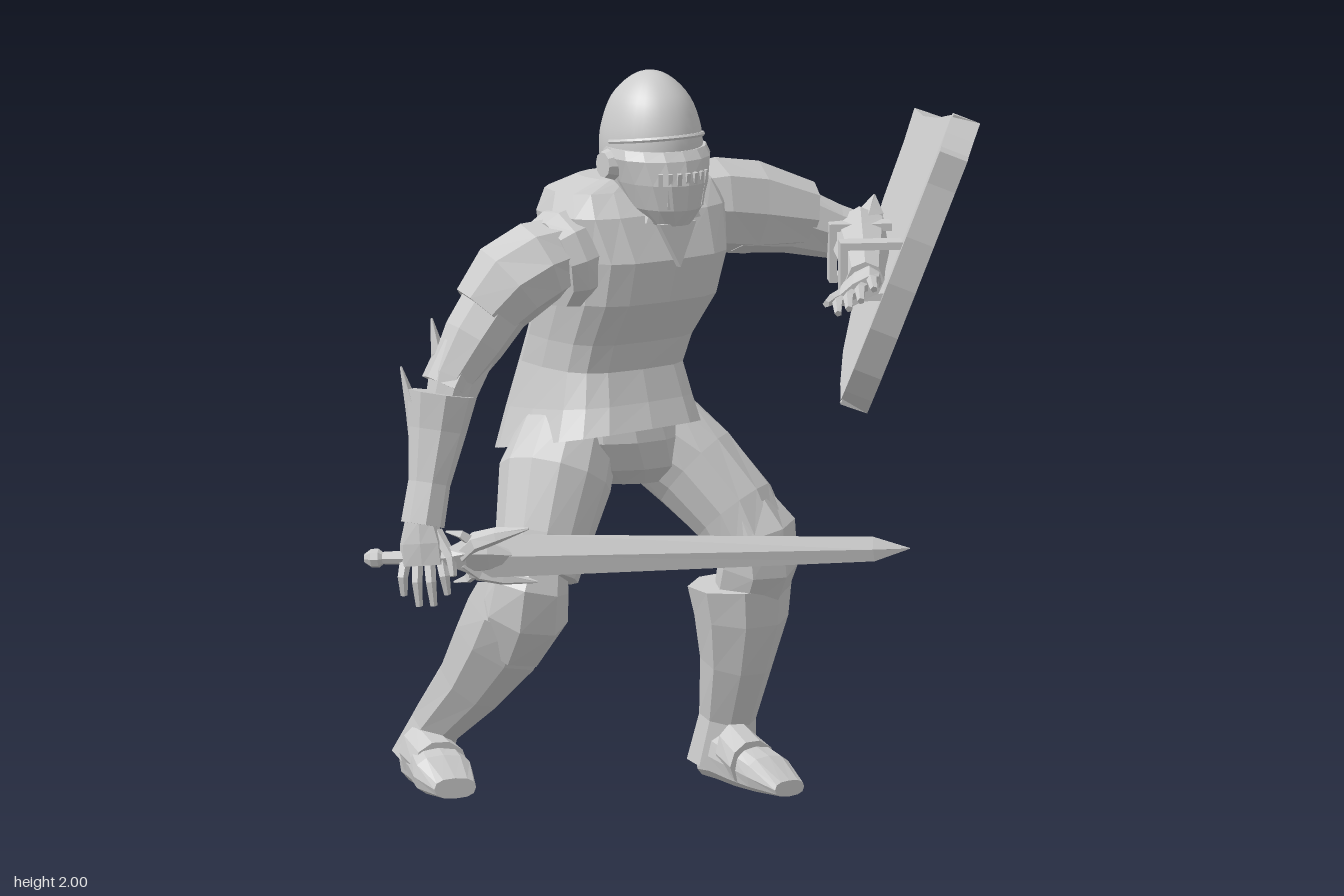
import * as THREE from 'three';

const V = (x, y, z) => new THREE.Vector3(x, y, z);
const flat = new THREE.MeshStandardMaterial({ color: 0xcccccc, flatShading: true, side: THREE.DoubleSide });
const smooth = new THREE.MeshStandardMaterial({ color: 0xcccccc, side: THREE.DoubleSide });

function add(parent, name, geometry, material = flat) {
  const mesh = new THREE.Mesh(geometry, material);
  mesh.name = name;
  parent.add(mesh);
  return mesh;
}

// Capped loft through rings [x, y, z, ra, rb]; ra runs along ref, rb across it.
function loft(parent, name, rings, { n = 8, e = 1, ref = V(1, 0, 0), axis = null } = {}) {
  const pos = [], idx = [], c = rings.map(r => V(r[0], r[1], r[2]));
  const pow = v => Math.sign(v) * Math.abs(v) ** e;
  rings.forEach((r, i) => {
    const t = axis ? axis.clone() : c[Math.min(i + 1, c.length - 1)].clone().sub(c[Math.max(i - 1, 0)]);
    t.normalize();
    const a = ref.clone().addScaledVector(t, -ref.dot(t)).normalize();
    const b = t.clone().cross(a);
    for (let j = 0; j < n; j++) {
      const q = j / n * Math.PI * 2;
      const p = c[i].clone().addScaledVector(a, r[3] * pow(Math.cos(q))).addScaledVector(b, (r[4] ?? r[3]) * pow(Math.sin(q)));
      pos.push(p.x, p.y, p.z);
    }
  });
  const last = rings.length - 1, base = last * n, cap = rings.length * n;
  pos.push(...c[0].toArray(), ...c[last].toArray());
  for (let j = 0; j < n; j++) {
    const k = (j + 1) % n;
    for (let i = 0; i < last; i++) {
      const o = i * n, u = o + n;
      idx.push(o + j, o + k, u + k, o + j, u + k, u + j);
    }
    idx.push(cap, k, j, cap + 1, base + j, base + k);
  }
  let g = new THREE.BufferGeometry();
  g.setAttribute('position', new THREE.Float32BufferAttribute(pos, 3));
  g.setIndex(idx);
  g = g.toNonIndexed();
  g.computeVertexNormals();
  return add(parent, name, g);
}

function group(parent, name) {
  const g = new THREE.Group();
  g.name = name;
  parent.add(g);
  return g;
}

function box(parent, name, size, at) {
  const m = add(parent, name, new THREE.BoxGeometry(...size));
  m.position.set(...at);
  return m;
}

function buildTorso(root) {
  const torso = group(root, 'torso'), up = V(0, 1, 0), ref = V(0.86, 0, -0.5);
  // Flared skirt, waist, breastplate and shoulders
  const plate = loft(torso, 'breastplate', [
    [-0.18, 0.975, -0.255, 0.245, 0.25], [-0.175, 1.07, -0.265, 0.222, 0.225], [-0.17, 1.18, -0.26, 0.2, 0.19],
    [-0.15, 1.26, -0.235, 0.207, 0.185], [-0.11, 1.38, -0.18, 0.23, 0.195], [-0.09, 1.5, -0.16, 0.24, 0.195],
    [-0.1, 1.62, -0.17, 0.265, 0.16], [-0.1, 1.68, -0.19, 0.25, 0.12], [-0.09, 1.71, -0.19, 0.16, 0.09]
  ], { n: 16, e: 0.62, ref, axis: up }).geometry;
  // The hem rises towards the front left
  const p = plate.attributes.position;
  for (let i = 0; i < p.count; i++) {
    const k = Math.max(0, (1.18 - p.getY(i)) / 0.2) * 0.2;
    p.setY(i, p.getY(i) + k * (0.6 * (p.getX(i) + 0.18) + 0.8 * (p.getZ(i) + 0.255)));
  }
  plate.computeVertexNormals();
  loft(torso, 'pelvis', [[-0.1, 0.85, -0.3, 0.13, 0.13], [-0.12, 0.9, -0.29, 0.2, 0.185], [-0.15, 0.98, -0.27, 0.215, 0.205], [-0.165, 1.08, -0.265, 0.19, 0.19]],
    { n: 14, ref, axis: up });
  loft(torso, 'collar', [[-0.07, 1.6, -0.16, 0.18, 0.165], [-0.06, 1.65, -0.15, 0.14, 0.14], [-0.05, 1.72, -0.14, 0.1, 0.1]],
    { n: 12, ref, axis: up });
  // Pointed throat plate
  const tri = new THREE.Shape([[-0.06, 0], [0, -0.12], [0.06, 0]].map(q => new THREE.Vector2(...q)));
  const throat = add(torso, 'throatPlate', new THREE.ExtrudeGeometry(tri, { depth: 0.02, bevelEnabled: false }));
  throat.position.set(0, 1.6, 0);
  throat.rotation.set(-0.1, 0.5, 0, 'YXZ');
}

function buildHead(root) {
  const head = group(root, 'head'), up = V(0, 1, 0);
  head.position.set(-0.05, 0, -0.12);
  head.rotation.y = 0.45;
  // Egg-shaped skull, deeper than wide
  const profile = [[0.09, 1.6], [0.11, 1.66], [0.13, 1.74], [0.134, 1.81], [0.124, 1.87], [0.103, 1.925], [0.07, 1.966], [0.035, 1.991], [0, 2]];
  const curve = new THREE.SplineCurve(profile.map(p => new THREE.Vector2(...p))).getPoints(24);
  curve.forEach(p => { p.x = Math.max(p.x, 0); });
  add(head, 'helmetDome', new THREE.LatheGeometry(curve, 32), smooth).scale.z = 1.17;
  loft(head, 'visor', [[0, 1.595, 0.1, 0.055, 0.06], [0, 1.64, 0.07, 0.095, 0.115], [0, 1.71, 0.045, 0.125, 0.15],
    [0, 1.775, 0.03, 0.146, 0.15], [0, 1.8, 0.02, 0.14, 0.14]], { n: 16, axis: up });
  // Vertical breathing bars
  for (let i = -3; i <= 3; i++) {
    const a = i * 0.2;
    const bar = box(head, 'visorBar', [0.012, 0.1, 0.014], [Math.sin(a) * 0.118, 1.695, 0.042 + Math.cos(a) * 0.14]);
    bar.rotation.set(0.15, a, 0, 'YXZ');
  }
  const brow = add(head, 'browRidge', new THREE.TorusGeometry(0.132, 0.007, 6, 20, Math.PI));
  brow.scale.y = 1.17;
  brow.rotation.x = Math.PI / 2 - 0.15;
  brow.position.set(0, 1.815, 0.003);
  for (const s of [-1, 1]) {
    const hinge = add(head, 'visorHinge', new THREE.CylinderGeometry(0.035, 0.045, 0.03, 10));
    hinge.rotation.z = -s * Math.PI / 2;
    hinge.position.set(s * 0.145, 1.755, 0.01);
  }
}

function buildLegs(root) {
  const left = group(root, 'leftLeg'), right = group(root, 'rightLeg');
  loft(left, 'thigh', [[-0.08, 1.04, -0.34, 0.1, 0.12], [-0.01, 0.96, -0.33, 0.135, 0.165], [0.09, 0.87, -0.29, 0.132, 0.155],
    [0.19, 0.76, -0.235, 0.122, 0.13], [0.23, 0.68, -0.21, 0.112, 0.12]], { n: 12 });
  loft(left, 'kneePlate', [[0.21, 0.76, -0.21, 0.095, 0.1], [0.24, 0.71, -0.2, 0.115, 0.115], [0.25, 0.62, -0.21, 0.11, 0.125], [0.23, 0.53, -0.24, 0.1]], { n: 7 });
  loft(left, 'greave', [[0.205, 0.56, -0.245, 0.142, 0.135], [0.21, 0.47, -0.25, 0.128, 0.125], [0.2, 0.34, -0.275, 0.1, 0.105],
    [0.18, 0.18, -0.32, 0.078, 0.075], [0.165, 0.05, -0.335, 0.095, 0.085]], { n: 8 });
  loft(right, 'thigh', [[-0.24, 1.03, -0.24, 0.1], [-0.27, 0.97, -0.19, 0.14], [-0.31, 0.88, -0.13, 0.155], [-0.35, 0.72, -0.07, 0.13], [-0.37, 0.63, -0.04, 0.115]], { n: 12 });
  loft(right, 'kneePlate', [[-0.37, 0.66, -0.05, 0.09], [-0.39, 0.6, -0.04, 0.11, 0.115], [-0.4, 0.52, -0.05, 0.12, 0.115], [-0.43, 0.43, -0.1, 0.1]], { n: 7 });
  loft(right, 'greave', [[-0.43, 0.53, -0.1, 0.125, 0.135], [-0.46, 0.43, -0.14, 0.13, 0.125], [-0.53, 0.31, -0.2, 0.1, 0.1],
    [-0.62, 0.18, -0.28, 0.072, 0.075], [-0.655, 0.08, -0.31, 0.085, 0.08]], { n: 8 });
  // Plated boots, heel to toe
  const boots = [[left, V(0.31, 0, 0.5), [[0.14, 0.06, -0.38, 0.05, 0.055], [0.18, 0.08, -0.31, 0.072, 0.075], [0.22, 0.07, -0.2, 0.07, 0.065],
    [0.27, 0.055, -0.12, 0.075, 0.05], [0.32, 0.027, -0.05, 0.05, 0.022]]],
  [right, V(0.12, 0, 0.5), [[-0.66, 0.085, -0.38, 0.05, 0.05], [-0.65, 0.095, -0.31, 0.07, 0.08], [-0.63, 0.085, -0.2, 0.075, 0.065],
    [-0.615, 0.07, -0.12, 0.085, 0.055], [-0.59, 0.045, -0.05, 0.06, 0.028]]]];
  for (const [leg, axis, rings] of boots) {
    loft(leg, 'boot', rings, { n: 12, e: 0.8, axis });
    const [x, y, z] = rings[2];
    loft(leg, 'instepPlate', [[x - 0.025, y + 0.025, z - 0.06, 0.068, 0.08], [x + 0.012, y + 0.005, z + 0.04, 0.078, 0.065]], { n: 10, axis });
  }
}

// Palm, four fingers and a thumb; along = finger direction, side = knuckle row
function buildHand(parent, wrist, along, side, thumbSide) {
  const hand = group(parent, 'hand'), P = (a, s, o = 0) => wrist.clone().addScaledVector(along, a).addScaledVector(side, s)
    .addScaledVector(along.clone().cross(side), o).toArray();
  loft(hand, 'palm', [[...P(0, 0), 0.045, 0.035], [...P(0.06, 0), 0.062, 0.036], [...P(0.12, 0), 0.064, 0.028]], { n: 8, e: 0.7, ref: side });
  for (let i = 0; i < 4; i++) {
    const s = (i - 1.5) * 0.032, len = i % 3 ? 0.13 : 0.1;
    loft(hand, 'finger', [[...P(0.1, s), 0.017], [...P(0.1 + len * 0.5, s * 1.2, 0.015), 0.015], [...P(0.1 + len, s * 1.25, 0), 0.01]], { n: 5, ref: side });
  }
  loft(hand, 'thumb', [[...P(0.03, thumbSide * 0.04), 0.018], [...P(0.1, thumbSide * 0.08, 0.02), 0.016], [...P(0.15, thumbSide * 0.085, 0.03), 0.01]], { n: 5, ref: side });
}

function buildArms(root) {
  const right = group(root, 'rightArm'), left = group(root, 'leftArm'), ref = V(0, 0, 1), up = V(0, 1, 0);
  // Sword arm
  loft(right, 'shoulderGuard', [[-0.26, 1.51, -0.05, 0.12, 0.14], [-0.3, 1.5, -0.03, 0.13, 0.14], [-0.34, 1.49, -0.01, 0.12, 0.125]], { n: 10, ref });
  loft(right, 'pauldron', [[-0.3, 1.52, -0.02, 0.1], [-0.37, 1.5, 0.01, 0.12, 0.118], [-0.45, 1.45, 0.025, 0.125, 0.122], [-0.52, 1.37, 0.04, 0.1]], { n: 8, ref });
  loft(right, 'upperArm', [[-0.46, 1.43, 0.03, 0.1], [-0.55, 1.3, 0.055, 0.09], [-0.61, 1.2, 0.075, 0.068], [-0.63, 1.12, 0.09, 0.06]], { n: 8, ref });
  loft(right, 'elbowPlate', [[-0.57, 1.27, 0.05, 0.08, 0.085], [-0.62, 1.17, 0.07, 0.08, 0.085]], { n: 6, ref });
  loft(right, 'gauntlet', [[-0.64, 1.16, 0.09, 0.085, 0.095], [-0.655, 1.06, 0.1, 0.075, 0.08], [-0.68, 0.92, 0.13, 0.058], [-0.7, 0.81, 0.15, 0.06]], { n: 8, ref });
  loft(right, 'gauntletSpike', [[-0.7, 1.02, 0.09, 0.03], [-0.72, 1.12, 0.08, 0.04, 0.02], [-0.75, 1.23, 0.06, 0.003]], { n: 4, ref });
  loft(right, 'elbowSpike', [[-0.63, 1.18, 0.03, 0.05, 0.03], [-0.645, 1.26, 0.03, 0.05, 0.02], [-0.66, 1.35, 0, 0.003]], { n: 4, ref });
  buildHand(right, V(-0.705, 0.82, 0.15), V(0.05, -0.98, 0.15).normalize(), V(0.85, 0.05, 0.25).normalize(), 1);
  // Shield arm
  loft(left, 'pauldron', [[0.05, 1.6, -0.27, 0.11], [0.13, 1.59, -0.31, 0.13, 0.125], [0.25, 1.57, -0.365, 0.128, 0.12], [0.41, 1.54, -0.4, 0.09]], { n: 8, ref: up });
  loft(left, 'upperArm', [[0.2, 1.56, -0.34, 0.11], [0.36, 1.53, -0.4, 0.095], [0.48, 1.49, -0.41, 0.075], [0.57, 1.47, -0.42, 0.06]], { n: 8, ref: up });
  loft(left, 'elbowPlate', [[0.55, 1.47, -0.48, 0.05], [0.55, 1.47, -0.43, 0.085], [0.55, 1.465, -0.35, 0.075]], { n: 6, ref: up });
  loft(left, 'gauntlet', [[0.55, 1.47, -0.4, 0.09, 0.085], [0.54, 1.46, -0.27, 0.075], [0.53, 1.44, -0.12, 0.058], [0.52, 1.43, 0, 0.052]], { n: 8, ref: up });
  loft(left, 'elbowSpike', [[0.56, 1.5, -0.34, 0.04], [0.58, 1.54, -0.42, 0.035, 0.02], [0.6, 1.57, -0.51, 0.003]], { n: 4 });
  buildHand(left, V(0.52, 1.43, -0.04), V(-0.2, -0.14, 0.95).normalize(), V(0.75, 0.55, 0.2).normalize(), -1);
}

function buildShield(root) {
  const shield = group(root, 'shield');
  const out = V(0.932, -0.362, 0), up = V(0.362, 0.932, 0);
  shield.quaternion.setFromRotationMatrix(new THREE.Matrix4().makeBasis(V(0, 0, -1), up, out));
  shield.position.set(0.545, 1.03, -0.18);
  const outline = [[0, 0], [0.07, 0.045], [0.15, 0.12], [0.225, 0.25], [0.275, 0.39], [0.305, 0.53], [0.318, 0.69], [0.338, 0.785], [0.24, 0.785], [0.12, 0.81], [0, 0.85]];
  const inner = outline.map(([x, y]) => [x * 0.88, 0.48 + (y - 0.48) * 0.89]);
  // Two halves folded back from a central ridge, each with a raised rim
  for (const s of [-1, 1]) {
    const shape = pts => new THREE.Shape(pts.map(([x, y]) => new THREE.Vector2(s * x, y)));
    const half = group(shield, 'shieldHalf');
    half.rotation.y = s * 0.15;
    const part = (name, pts, z0, z1) => {
      add(half, name, new THREE.ExtrudeGeometry(shape(pts), { depth: z1 - z0, bevelEnabled: false })).position.z = z0;
    };
    part('rim', [...outline, ...inner.slice().reverse()], -0.08, 0);
    part('panel', inner, -0.08, -0.018);
  }
  // Arm straps
  for (const z of [-0.33, -0.05]) {
    box(root, 'upperStrap', [0.17, 0.02, 0.07], [0.54, 1.52, z]);
    box(root, 'lowerStrap', [0.13, 0.02, 0.07], [0.52, 1.38, z]);
    box(root, 'strapLoop', [0.02, 0.16, 0.07], [0.465, 1.45, z]);
  }
}

function buildSword(root) {
  const sword = group(root, 'sword');
  sword.position.set(-0.85, 0.715, 0.12);
  sword.quaternion.setFromUnitVectors(V(1, 0, 0), V(1.43, 0.08, 0.437).normalize());
  const ref = V(0, 1, 0), side = V(0, 0, 1);
  loft(sword, 'blade', [[0.28, 0, 0, 0.06, 0.016], [0.45, 0, 0, 0.057, 0.015], [1.4, 0, 0, 0.034, 0.01], [1.5, 0, 0, 0.001, 0.001]], { n: 4, ref });
  loft(sword, 'grip', [[0.02, 0, 0, 0.016], [0.14, 0, 0, 0.021], [0.28, 0, 0, 0.019]], { n: 8, ref });
  loft(sword, 'pommel', [[-0.005, 0, 0, 0.012], [0.015, 0, 0, 0.026], [0.035, 0, 0, 0.026], [0.05, 0, 0, 0.014]], { n: 8, ref });
  // Winged guard
  const guard = group(sword, 'guard');
  guard.rotation.x = 0.45;
  loft(guard, 'guardCore', [[0.22, 0, 0, 0.025], [0.28, 0, 0, 0.06, 0.035], [0.34, 0, 0, 0.05, 0.03], [0.42, 0, 0, 0.01]], { n: 6, ref });
  for (const s of [-1, 1]) {
    loft(guard, 'guardWing', [[0.27, s * 0.01, 0, 0.035, 0.025], [0.31, s * 0.05, 0, 0.035, 0.025], [0.37, s * 0.07, 0, 0.028, 0.02], [0.46, s * 0.09, 0, 0.003]], { n: 6, ref: side });
    loft(guard, 'guardBarb', [[0.3, s * 0.045, 0, 0.02], [0.27, s * 0.075, 0, 0.014], [0.23, s * 0.085, 0, 0.003]], { n: 4, ref: side });
  }
}

export function createModel() {
  const root = new THREE.Group();
  root.name = 'armouredSwordsman';
  [buildTorso, buildHead, buildLegs, buildArms, buildShield, buildSword].forEach(build => build(root));
  return root;
}
